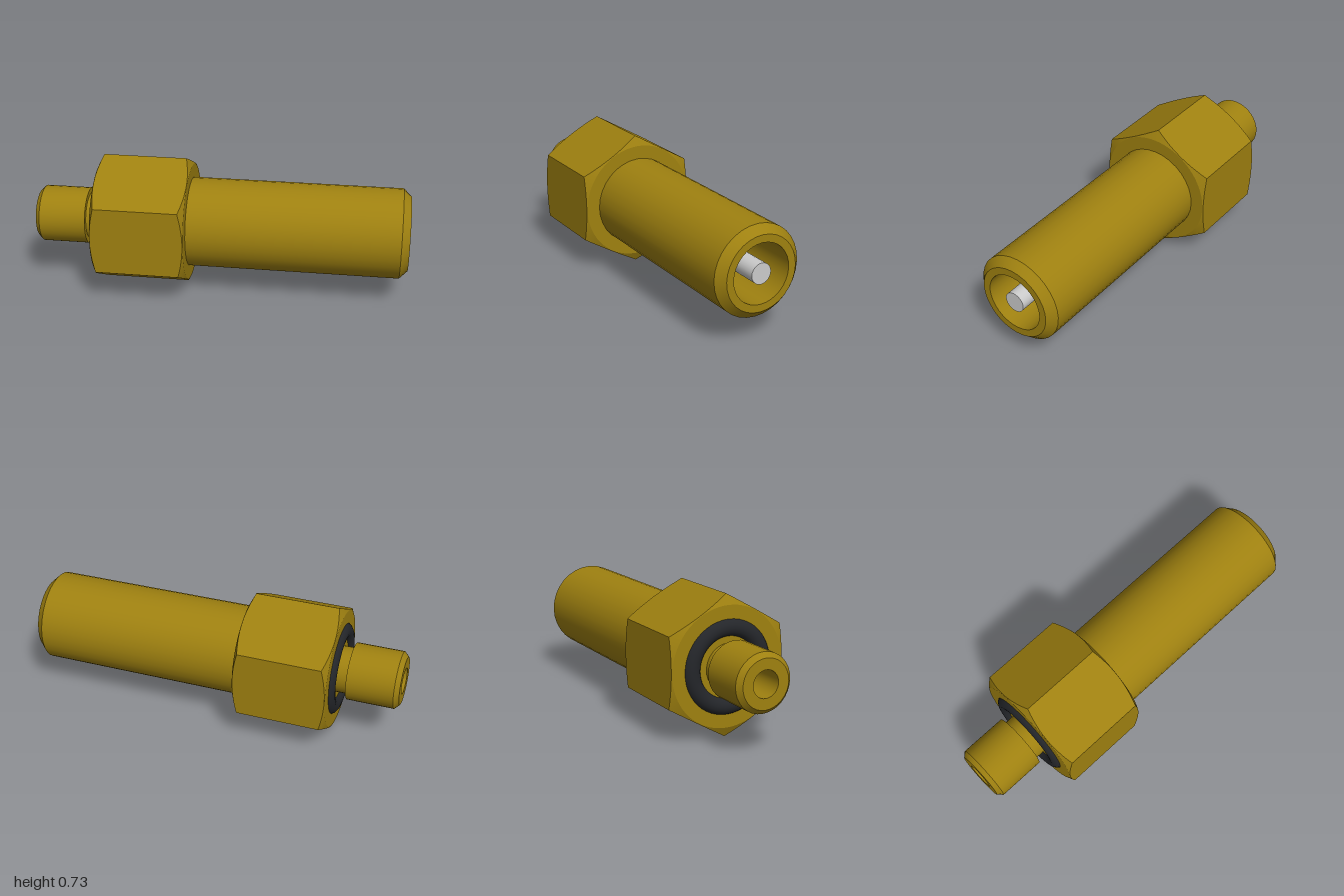
import * as THREE from 'three';
import { toCreasedNormals } from 'three/addons/utils/BufferGeometryUtils.js';

const brass = new THREE.MeshStandardMaterial({ color: 0x9f8110 });
const rubber = new THREE.MeshStandardMaterial({ color: 0x24262a });
const grey = new THREE.MeshStandardMaterial({ color: 0xcccccc });

function part(name, geometry, material) {
  const mesh = new THREE.Mesh(geometry, material);
  mesh.name = name;
  return mesh;
}

// Turned part around the x axis, profile given as [x, radius]
function turned(profile, segments) {
  const pts = profile.map(([x, r]) => new THREE.Vector2(r, x));
  const geo = new THREE.LatheGeometry(pts, segments).rotateZ(-Math.PI / 2);
  return toCreasedNormals(geo, 0.4);
}

// Hexagonal nut: hexagon cross-section with conical chamfers at both ends
function hexNut(x0, x1, apothem) {
  const steps = 72, flat = apothem - 0.004, positions = [], index = [];
  const rings = [
    () => [x0, 0.11],
    () => [x0, flat],
    R => [x0 + (R - flat) * 0.5, R],
    R => [x1 - (R - flat) * 0.5, R],
    () => [x1, flat],
    () => [x1, 0.2],
  ];
  rings.forEach((ring, i) => {
    for (let j = 0; j <= steps; j++) {
      const t = (j / steps) * Math.PI * 2;
      const R = apothem / Math.cos((t % (Math.PI / 3)) - Math.PI / 6);
      const [x, r] = ring(R);
      positions.push(x, r * Math.cos(t), r * Math.sin(t));
      if (i < rings.length - 1 && j < steps) {
        const a = i * (steps + 1) + j, c = a + steps + 1;
        index.push(a, a + 1, c, a + 1, c + 1, c);
      }
    }
  });
  const geo = new THREE.BufferGeometry();
  geo.setAttribute('position', new THREE.Float32BufferAttribute(positions, 3));
  geo.setIndex(index);
  return toCreasedNormals(geo, 0.3);
}

export function createModel() {
  const group = new THREE.Group();

  // Hollow body: threaded spigot, neck, long barrel, wide bore and narrow passage
  group.add(part('body', turned([
    [-1, 0.07], [-1, 0.127], [-0.975, 0.152], [-0.725, 0.152], [-0.725, 0.123],
    [-0.6, 0.123], [-0.6, 0.24], [0.957, 0.24], [1, 0.198], [1, 0.158],
    [-0.3, 0.158], [-0.3, 0.07], [-1, 0.07],
  ], 32), brass));

  group.add(part('hexNut', hexNut(-0.66, -0.165, 0.316), brass));

  // Sealing ring seated in the nut face
  const seal = part('sealRing', new THREE.TorusGeometry(0.2, 0.05, 16, 48).rotateY(Math.PI / 2), rubber);
  seal.position.x = -0.635;
  group.add(seal);

  // Central pin carried by a cross bar that spans the bore
  const pin = part('pin', new THREE.CylinderGeometry(0.055, 0.055, 1.05, 24).rotateZ(-Math.PI / 2), grey);
  pin.position.x = 0.473;
  group.add(pin);

  const a = Math.asin(0.055 / 0.157);
  const shape = new THREE.Shape();
  shape.absarc(0, 0, 0.157, -a, a, false);
  shape.absarc(0, 0, 0.157, Math.PI - a, Math.PI + a, false);
  const barGeo = new THREE.ExtrudeGeometry(shape, { depth: 0.1, bevelEnabled: false, curveSegments: 6 });
  const bar = part('crossBar', barGeo.rotateY(Math.PI / 2), grey);
  bar.position.x = -0.1;
  group.add(bar);

  // Lift the axis so the lower nut corner touches the ground
  group.children.forEach(m => { m.position.y = 0.365; });
  return group;
}
